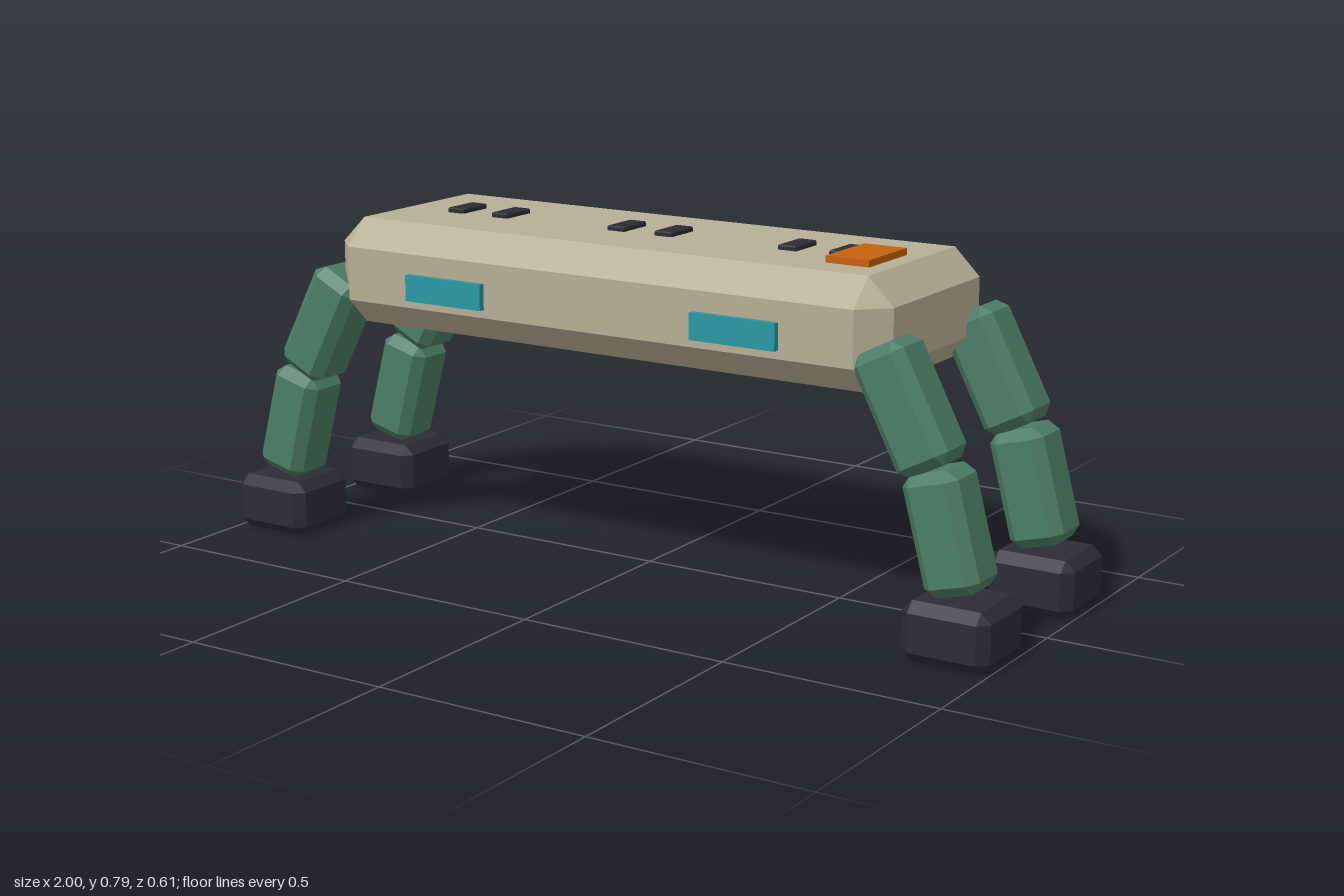
import * as THREE from 'three';
import { ConvexGeometry } from 'three/addons/geometries/ConvexGeometry.js';

const material = (name, color) => {
  const m = new THREE.MeshStandardMaterial({ color });
  m.name = name;
  return m;
};

// Box with every edge and corner cut by the bevel c
function chamferBox(w, h, d, c) {
  const points = [];
  for (const sx of [-1, 1]) for (const sy of [-1, 1]) for (const sz of [-1, 1]) {
    const x = w / 2, y = h / 2, z = d / 2;
    points.push(
      new THREE.Vector3(sx * x, sy * (y - c), sz * (z - c)),
      new THREE.Vector3(sx * (x - c), sy * y, sz * (z - c)),
      new THREE.Vector3(sx * (x - c), sy * (y - c), sz * z)
    );
  }
  return new ConvexGeometry(points);
}

export function createModel() {
  const model = new THREE.Group();
  model.name = 'fourLeggedWalker';

  const tan = material('tan', 0xb8ae96);
  const green = material('green', 0x4b7d66);
  const dark = material('charcoal', 0x2c2c34);
  const teal = material('teal', 0x2a98a4);
  const orange = material('orange', 0xc4620f);

  function add(parent, name, geometry, mat, x, y, z, tilt = 0) {
    const mesh = new THREE.Mesh(geometry, mat);
    mesh.name = name;
    mesh.position.set(x, y, z);
    mesh.rotation.z = tilt;
    parent.add(mesh);
    return mesh;
  }

  // Bevelled body
  add(model, 'body', chamferBox(1.445, 0.247, 0.522, 0.061), tan, 0, 0.6535, 0);

  // Four legs, mirrored left/right and front/back
  const upperLeg = chamferBox(0.13, 0.275, 0.13, 0.023);
  const lowerLeg = chamferBox(0.13, 0.262, 0.13, 0.023);
  const foot = chamferBox(0.202, 0.131, 0.193, 0.023);
  for (const sx of [-1, 1]) for (const sz of [-1, 1]) {
    const leg = new THREE.Group();
    leg.name = (sz > 0 ? 'front' : 'back') + (sx > 0 ? 'Left' : 'Right') + 'Leg';
    const z = sz * 0.207;
    add(leg, 'upperLeg', upperLeg, green, sx * 0.767, 0.518, z, sx * 0.48);
    add(leg, 'lowerLeg', lowerLeg, green, sx * 0.867, 0.269, z, sx * 0.26);
    add(leg, 'foot', foot, dark, sx * 0.899, 0.0655, z);
    model.add(leg);
  }

  // Front light panels
  for (const sx of [-1, 1]) {
    add(model, 'lightPanel', new THREE.BoxGeometry(0.21, 0.06, 0.02), teal, sx * 0.38, 0.64, 0.266);
  }

  // Back hatch
  add(model, 'backHatch', chamferBox(0.19, 0.092, 0.026, 0.006), dark, -0.004, 0.655, -0.266);

  // Paired vents along the top
  const vent = chamferBox(0.046, 0.016, 0.094, 0.003);
  for (const x of [-0.45, 0, 0.444]) for (const s of [-1, 1]) {
    add(model, 'topVent', vent, dark, x - 0.003 + s * 0.063, 0.78, -0.005);
  }

  // Orange top plate
  add(model, 'topPlate', new THREE.BoxGeometry(0.104, 0.018, 0.172), orange, 0.568, 0.783, 0.033);

  return model;
}
